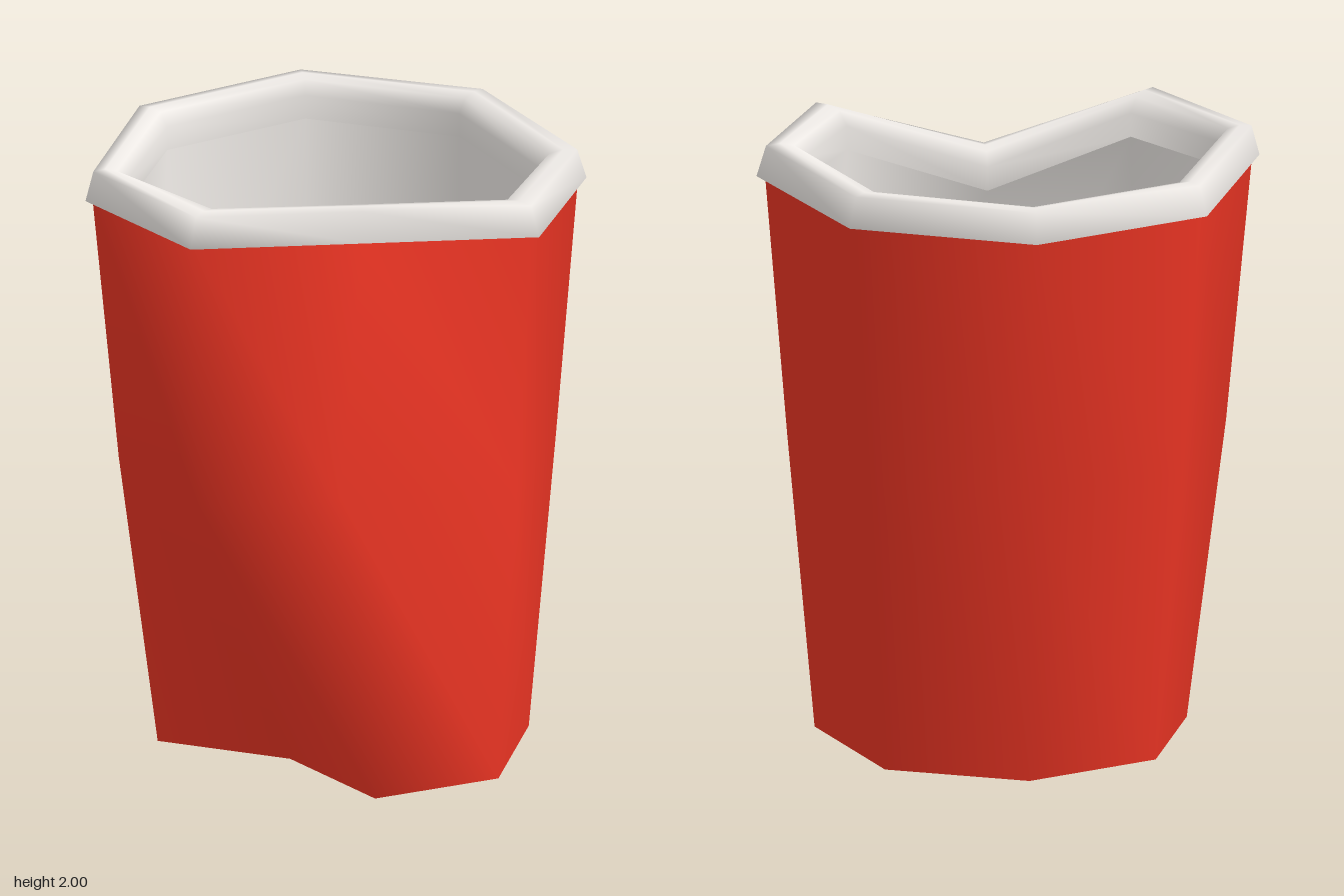
import * as THREE from 'three';

// Rings run front-left corner, front, and on around the cup through +x
const bottom = [[-0.18, 0, 0.3], [0.04, 0, 0.69], [0.46, 0, 0.57], [0.625, 0, 0.12],
  [0.45, 0, -0.34], [0, 0, -0.51], [-0.43, 0, -0.34], [-0.58, 0, 0.08]];
const middle = [[-0.52, 1, 0.58], [-0.08, 1.05, 0.72], [0.52, 1, 0.575], [0.715, 1, 0.11],
  [0.51, 1, -0.41], [0, 1, -0.6], [-0.51, 1, -0.41], [-0.71, 1, 0.1]];
// Edge of the floor inside the cup
const floorEdge = [[-0.16, 0.1, 0.21], [0.04, 0.1, 0.6], [0.41, 0.1, 0.5], [0.55, 0.1, 0.11],
  [0.4, 0.1, -0.29], [0, 0.1, -0.44], [-0.38, 0.1, -0.29], [-0.52, 0.1, 0.07]];
// Outer and inner edges of the rim, at the height of its lower lip
const rimOuter = [[-0.545, 1.89, 0.575], [0.05, 1.795, 0.36], [0.59, 1.875, 0.59], [0.815, 1.885, 0.11],
  [0.58, 1.89, -0.47], [0, 1.895, -0.72], [-0.58, 1.89, -0.48], [-0.82, 1.895, 0.11]];
const rimInner = [[-0.44, 1.89, 0.44], [0.05, 1.795, 0.23], [0.48, 1.875, 0.46], [0.66, 1.885, 0.13],
  [0.47, 1.89, -0.37], [0, 1.895, -0.59], [-0.48, 1.89, -0.39], [-0.69, 1.895, 0.1]];

// Step from outer to inner rim edge by t, raised by dy
const rimRing = (t, dy) => rimOuter.map(([x, y, z], i) => [
  x + (rimInner[i][0] - x) * t, y + dy, z + (rimInner[i][2] - z) * t]);

// Shrink a ring toward the cup's axis, raised by dy
const inset = (ring, s, dy = 0) => ring.map(([x, y, z]) => [x * s, y + dy, 0.04 + (z - 0.04) * s]);

// Smooth skin through a list of closed rings
function loft(rings) {
  const n = rings[0].length, index = [];
  for (let r = 0; r < rings.length - 1; r++) {
    for (let i = 0; i < n; i++) {
      const j = (i + 1) % n;
      const a = r * n + i, b = r * n + j, c = a + n, d = b + n;
      index.push(a, b, c, b, d, c);
    }
  }
  const geometry = new THREE.BufferGeometry();
  geometry.setAttribute('position', new THREE.Float32BufferAttribute(rings.flat(2), 3));
  geometry.setIndex(index);
  geometry.computeVertexNormals();
  return geometry;
}

export function createModel() {
  const cup = new THREE.Group();
  cup.name = 'crushedCup';
  const red = new THREE.MeshStandardMaterial({ color: 0xee3524 });
  const white = new THREE.MeshStandardMaterial({ color: 0xeeeae6, side: THREE.DoubleSide });
  const add = (name, rings, material) => {
    const mesh = new THREE.Mesh(loft(rings), material);
    mesh.name = name;
    cup.add(mesh);
  };

  // Dented red outside wall
  add('outerWall', [bottom, middle, rimRing(0.18, 0.005)], red);

  // Rolled rim: under the lip, up the outside, over the top, down the inside
  const rimProfile = [[0.2, 0], [0, 0], [0.2, 0.1], [0.5, 0.105], [0.8, 0.095], [1, 0.05], [1, -0.03]];
  add('rim', rimProfile.map(([t, dy]) => rimRing(t, dy)), white);

  // Inside lining, running smoothly into the floor
  add('innerWall', [inset(floorEdge, 0), floorEdge, inset(middle, 0.89), rimRing(1, -0.03)], white);

  // Recessed underside with the foot around it
  const recess = 0.09;
  add('underside', [inset(bottom, 0, recess), inset(bottom, 0.96, recess), bottom], white);
  return cup;
}
